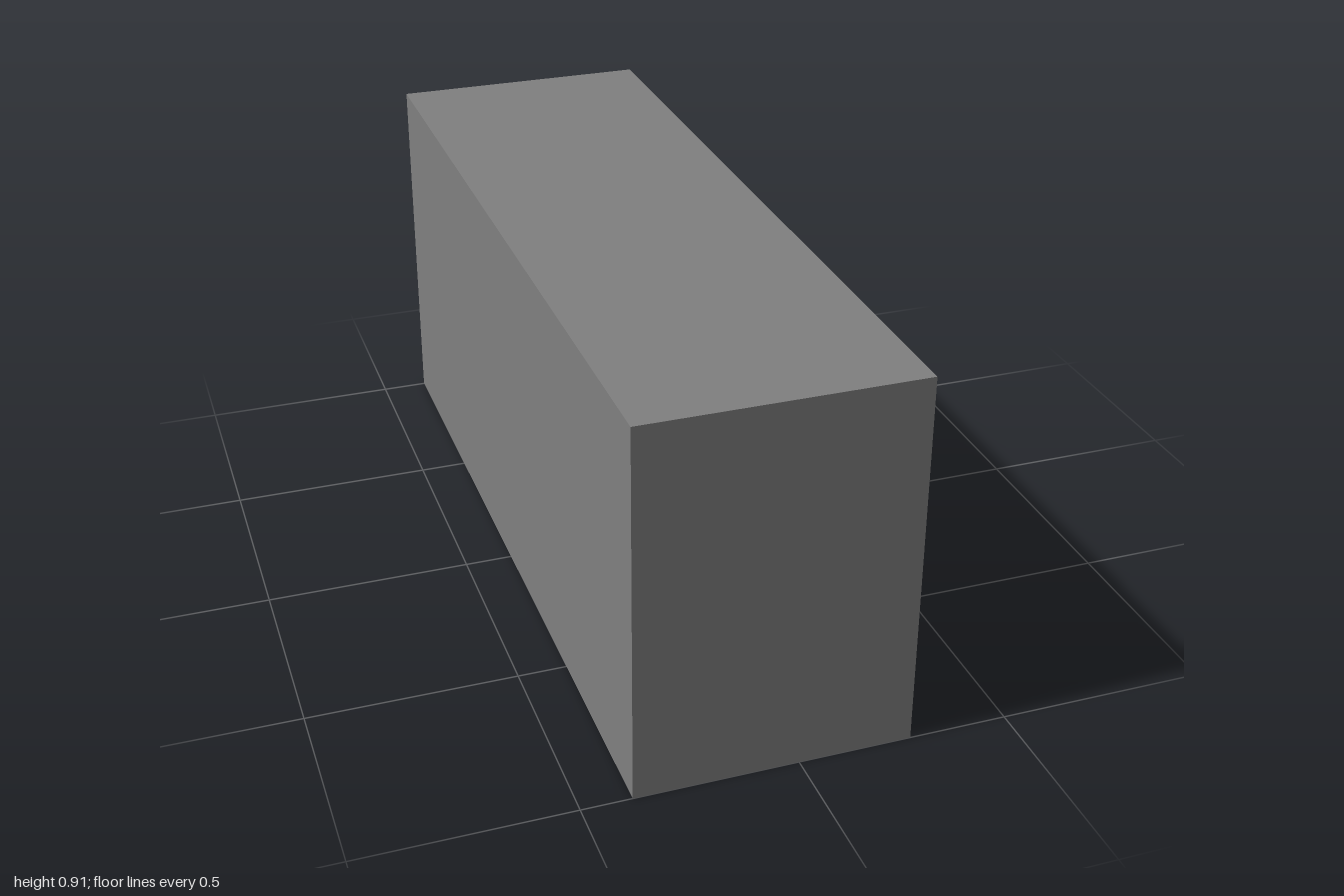
import * as THREE from 'three';

const housingGrey = new THREE.MeshStandardMaterial({ name: 'housingGrey', color: 0x808080 });
const controlBlack = new THREE.MeshStandardMaterial({ name: 'controlBlack', color: 0x222222 });
const leverMetal = new THREE.MeshStandardMaterial({ name: 'leverMetal', color: 0x999999 });
const markerWhite = new THREE.MeshStandardMaterial({ name: 'markerWhite', color: 0xc8c8c8 });

const PANEL_X = 0.267; // outer face of the control panel

function add(parent, name, geometry, material, x = 0, y = 0, z = 0) {
  const mesh = new THREE.Mesh(geometry, material);
  mesh.name = name;
  mesh.position.set(x, y, z);
  parent.add(mesh);
  return mesh;
}

// Cylinder along +x, from x0 to x1 measured from the panel
function disc(x0, x1, r0, r1 = r0, sides = 32) {
  return new THREE.CylinderGeometry(r1, r0, x1 - x0, sides)
    .rotateZ(-Math.PI / 2)
    .translate((x0 + x1) / 2, 0, 0);
}

function control(parent, name, y, z) {
  const group = new THREE.Group();
  group.name = name;
  group.position.set(PANEL_X, y, z);
  parent.add(group);
  return group;
}

function toggleSwitch(parent, name, y, z) {
  const g = control(parent, name, y, z);
  // hexagon with its points toward the front and back
  add(g, 'hexNut', disc(0, 0.024, 0.07, 0.07, 6), controlBlack);
  add(g, 'collar', disc(0.024, 0.036, 0.05), controlBlack);
  add(g, 'lever', disc(0.036, 0.094, 0.021), leverMetal);
  const tip = new THREE.SphereGeometry(0.021, 24, 8, 0, Math.PI * 2, 0, Math.PI / 2);
  add(g, 'leverTip', tip.rotateZ(-Math.PI / 2), leverMetal, 0.094);
}

export function createModel() {
  const model = new THREE.Group();
  model.name = 'controlBox';

  // Housing and floating display plate
  add(model, 'housing', new THREE.BoxGeometry(0.65, 0.907, 2), housingGrey, -0.058, 0.4535, 0);
  add(model, 'displayPlate', new THREE.BoxGeometry(0.007, 0.514, 0.514), housingGrey, 0.2845, 0.455, 0.561);

  toggleSwitch(model, 'middleToggle', 0.455, 0.006);
  toggleSwitch(model, 'rearToggle', 0.24, -0.76);

  // Tapered rotary knob with a pointer mark
  const knob = control(model, 'rotaryKnob', 0.455, -0.243);
  add(knob, 'knobSkirt', disc(0, 0.022, 0.07), controlBlack);
  add(knob, 'knobGrip', disc(0.022, 0.098, 0.068, 0.045), controlBlack);
  add(knob, 'pointerMark', disc(0.097, 0.103, 0.011, 0.011, 16), markerWhite, 0, 0.031, 0);

  // Flat push button
  const button = control(model, 'pushButton', 0.455, -0.487);
  add(button, 'buttonBezel', disc(0, 0.018, 0.07), controlBlack);
  add(button, 'buttonCap', disc(0.018, 0.038, 0.043), controlBlack);

  // Domed indicator
  const lamp = control(model, 'domedIndicator', 0.622, -0.757);
  add(lamp, 'domeBezel', disc(0, 0.021, 0.07), controlBlack);
  add(lamp, 'domeCollar', disc(0.021, 0.041, 0.055), controlBlack);
  const dome = new THREE.SphereGeometry(0.053, 32, 12, 0, Math.PI * 2, 0, Math.PI / 2);
  add(lamp, 'dome', dome.rotateZ(-Math.PI / 2).scale(0.68, 1, 1), controlBlack, 0.039);

  return model;
}
